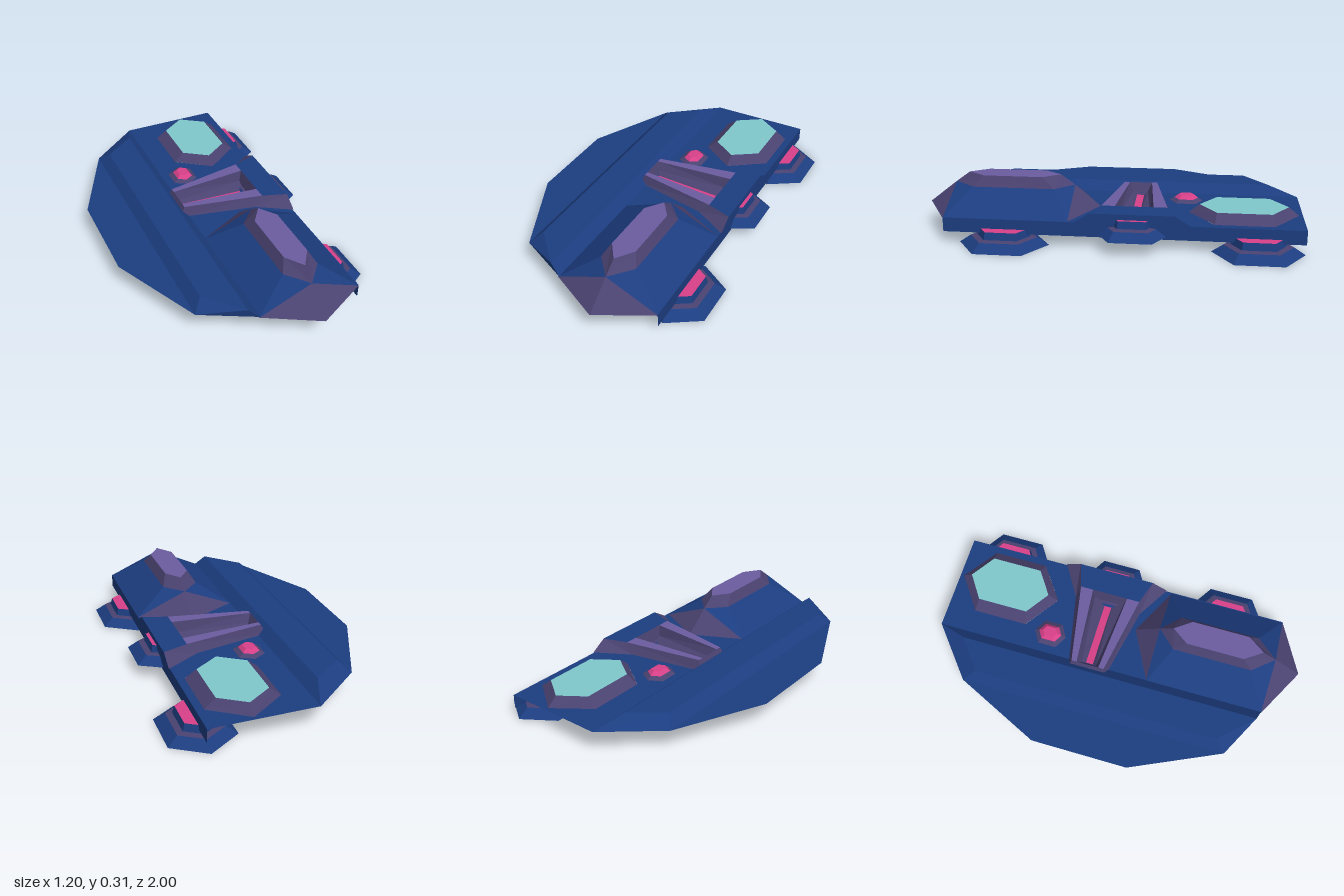
import * as THREE from 'three';

const BLUE = 0x1c3d80, FRAME = 0x4a4270, LILAC = 0x6b5ca0, PINK = 0xd84088, TEAL = 0x80c8cc;

const material = (color) =>
  new THREE.MeshStandardMaterial({ color, flatShading: true, side: THREE.DoubleSide });

// Thin shell mesh from convex polygons of [x, y, z] corners, each turned to face upwards
function panels(name, color, polygons) {
  const pos = [];
  const a = new THREE.Vector3(), b = new THREE.Vector3(), c = new THREE.Vector3();
  for (const p of polygons) {
    for (let i = 1; i < p.length - 1; i++) {
      a.fromArray(p[0]); b.fromArray(p[i]); c.fromArray(p[i + 1]);
      const up = b.clone().sub(a).cross(c.clone().sub(a)).y >= 0;
      pos.push(...p[0], ...(up ? p[i] : p[i + 1]), ...(up ? p[i + 1] : p[i]));
    }
  }
  const geo = new THREE.BufferGeometry();
  geo.setAttribute('position', new THREE.Float32BufferAttribute(pos, 3));
  geo.computeVertexNormals();
  const mesh = new THREE.Mesh(geo, material(color));
  mesh.name = name;
  return mesh;
}

// Hexagon with its points along z: half width, half length, half length of the straight sides
const hexagon = (cx, cz, y, hx, hz, side) => [
  [cx, y, cz + hz], [cx + hx, y, cz + side], [cx + hx, y, cz - side],
  [cx, y, cz - hz], [cx - hx, y, cz - side], [cx - hx, y, cz + side],
];

// Quads joining two rings
const band = (lower, upper) => lower.map((p, i) => {
  const j = (i + 1) % lower.length;
  return [p, lower[j], upper[j], upper[i]];
});

// Stacked hexagonal dome: levels are [y, hx, hz, side], one colour per band, then the cap
function hexDome(name, cx, cz, levels, colors) {
  const group = new THREE.Group();
  group.name = name;
  const rings = levels.map((l) => hexagon(cx, cz, ...l));
  for (let i = 0; i < rings.length - 1; i++)
    group.add(panels(name + 'Band' + (i + 1), colors[i], band(rings[i], rings[i + 1])));
  group.add(panels(name + 'Cap', colors[rings.length - 1], [rings[rings.length - 1]]));
  return group;
}

// Flat deck with openings under the raised details
function createDeck() {
  const path = (points) => points.map(([x, , z]) => new THREE.Vector2(x, -z));
  const shape = new THREE.Shape(path([[-0.1, 0, 0.85], [0.45, 0, 0.85], [0.45, 0, -1], [-0.1, 0, -1]]));
  const openings = [
    hexagon(0.22, -0.69, 0, 0.185, 0.28, 0.15),
    hexagon(0.015, -0.39, 0, 0.065, 0.085, 0.045),
    [[-0.095, 0, -0.17], [0.31, 0, -0.22], [0.31, 0, -0.04], [-0.095, 0, -0.09]],
  ];
  for (const o of openings) shape.holes.push(new THREE.Path(path(o)));
  const geo = new THREE.ShapeGeometry(shape);
  geo.rotateX(-Math.PI / 2);
  geo.translate(0, 0.135, 0);
  const deck = new THREE.Mesh(geo, material(BLUE));
  deck.name = 'deck';
  return deck;
}

// Faceted front canopy, mirrored about its centre line
function createCanopy() {
  const group = new THREE.Group();
  group.name = 'frontCanopy';
  const cx = 0.172;
  const nose = [], flank = [], frame = [], glass = [];
  for (const s of [1, -1]) {
    const P = (x, y, z) => [cx + s * x, y, z];
    const sideF = P(0.278, 0.132, 0.85), sideB = P(0.278, 0.132, 0.2);
    const midF = P(0, 0.25, 0.85), midB = P(0, 0.25, 0.2);
    const shoulderF = P(0.097, 0.25, 0.735), shoulderB = P(0.097, 0.25, 0.3);
    const topF = P(0, 0.305, 0.775), topB = P(0, 0.305, 0.275);
    const cornerF = P(0.066, 0.305, 0.68), cornerB = P(0.066, 0.305, 0.365);
    nose.push([sideF, P(0, 0.132, 1), midF], [sideB, P(0, 0.132, 0.06), midB]);
    flank.push([sideF, midF, shoulderF], [sideB, midB, shoulderB], [sideF, sideB, shoulderB, shoulderF]);
    frame.push([midF, shoulderF, cornerF, topF], [shoulderF, shoulderB, cornerB, cornerF],
      [shoulderB, midB, topB, cornerB]);
    glass.push([topF, cornerF, cornerB, topB]);
  }
  group.add(panels('canopyNose', FRAME, nose), panels('canopyFlanks', BLUE, flank),
    panels('canopyFrame', FRAME, frame), panels('canopyGlass', LILAC, glass));
  return group;
}

// Flared vent: two tapering ridges with a sunken lit channel between them
function createVent() {
  const group = new THREE.Group();
  group.name = 'vent';
  const cz = -0.13, top = 0.187, base = 0.135;
  const outer = [], ridge = [], trough = [], plate = [], strip = [];
  for (const s of [1, -1]) {
    const P = (x, y, z) => [x, y, cz + s * z];
    const tip = P(-0.12, top, 0.092), back = P(0.32, top, 0.172), end = P(0.455, top, 0.215);
    const tipIn = P(-0.12, top, 0.062), backIn = P(0.32, top, 0.1);
    const floorA = P(-0.09, 0.122, 0.02), floorB = P(0.3, 0.105, 0.02);
    const ledgeA = P(-0.1, 0.14, 0.04), ledgeB = P(0.305, 0.128, 0.085);
    outer.push([P(-0.145, base, 0.105), P(0.27, base, 0.19), back, tip],
      [P(0.27, base, 0.19), P(0.455, base, 0.3), end, back],
      [P(-0.145, base, 0), P(-0.145, base, 0.105), tip, P(-0.12, top, 0)]);
    ridge.push([tip, back, backIn, tipIn]);
    trough.push([tipIn, backIn, ledgeB, ledgeA], [ledgeA, ledgeB, floorB, floorA],
      [tipIn, ledgeA, P(-0.1, 0.14, 0), P(-0.12, top, 0)],
      [ledgeA, floorA, P(-0.09, 0.122, 0), P(-0.1, 0.14, 0)],
      [backIn, ledgeB, P(0.305, 0.128, 0), P(0.32, top, 0)],
      [ledgeB, floorB, P(0.3, 0.105, 0), P(0.305, 0.128, 0)]);
    plate.push([back, end, P(0.455, top, 0), P(0.32, top, 0)],
      [end, P(0.455, base, 0.3), P(0.455, base, 0), P(0.455, top, 0)]);
    strip.push([floorA, floorB, P(0.3, 0.105, 0), P(-0.09, 0.122, 0)]);
  }
  group.add(panels('ventSides', FRAME, outer), panels('ventRidges', LILAC, ridge),
    panels('ventChannel', FRAME, trough), panels('ventPlate', BLUE, plate),
    panels('ventLight', PINK, strip));
  return group;
}

export function createModel() {
  const model = new THREE.Group();
  model.name = 'hoverCraft';
  model.add(createDeck(), createCanopy(), createVent());

  // Side skirt below the deck edge
  model.add(panels('sideSkirt', BLUE,
    [[[0.45, 0.06, 0.85], [0.45, 0.06, -1], [0.45, 0.135, -1], [0.45, 0.135, 0.85]]]));

  // Flat outer wing and the bevelled rise between it and the deck
  const y = 0.135, h = 0.185;
  model.add(panels('outerWing', BLUE,
    [[[-0.38, y, 0.71], [-0.38, y, -0.77], [-0.6, y, -0.3], [-0.6, y, 0.23]]]));
  const wingBase = [[-0.38, y, 0.71], [-0.1, y, 0.85], [-0.1, y, -1], [-0.38, y, -0.77]];
  const wingTop = [[-0.328, h, 0.65], [-0.158, h, 0.83], [-0.158, h, -0.84], [-0.328, h, -0.71]];
  model.add(panels('wingRise', BLUE, [...band(wingBase, wingTop), wingTop]));

  // Rear window and small beacon
  model.add(hexDome('rearWindow', 0.22, -0.695,
    [[y, 0.19, 0.285, 0.15], [0.18, 0.132, 0.23, 0.14]], [FRAME, TEAL]));
  model.add(hexDome('beacon', 0.015, -0.39,
    [[y, 0.07, 0.09, 0.05], [0.15, 0.045, 0.065, 0.038], [0.168, 0.028, 0.042, 0.025]],
    [FRAME, PINK, PINK]));

  // Three hover pods along the side
  const pods = [['frontPod', 0.43, 0.535, 0, 1], ['middlePod', 0.4, -0.13, 0.075, 0.86],
    ['rearPod', 0.43, -0.765, 0, 1]];
  for (const [name, x, z, py, k] of pods) {
    const sx = name === 'middlePod' ? 0.97 : 1;
    const levels = [[0, 0.17, 0.235, 0.125], [0.04, 0.117, 0.175, 0.1],
      [0.045, 0.086, 0.14, 0.085], [0.083, 0.076, 0.128, 0.08]]
      .map(([ly, hx, hz, s]) => [py + ly, hx * sx, hz * k, s * k]);
    model.add(hexDome(name, x, z, levels, [BLUE, FRAME, BLUE, PINK]));
  }
  return model;
}
